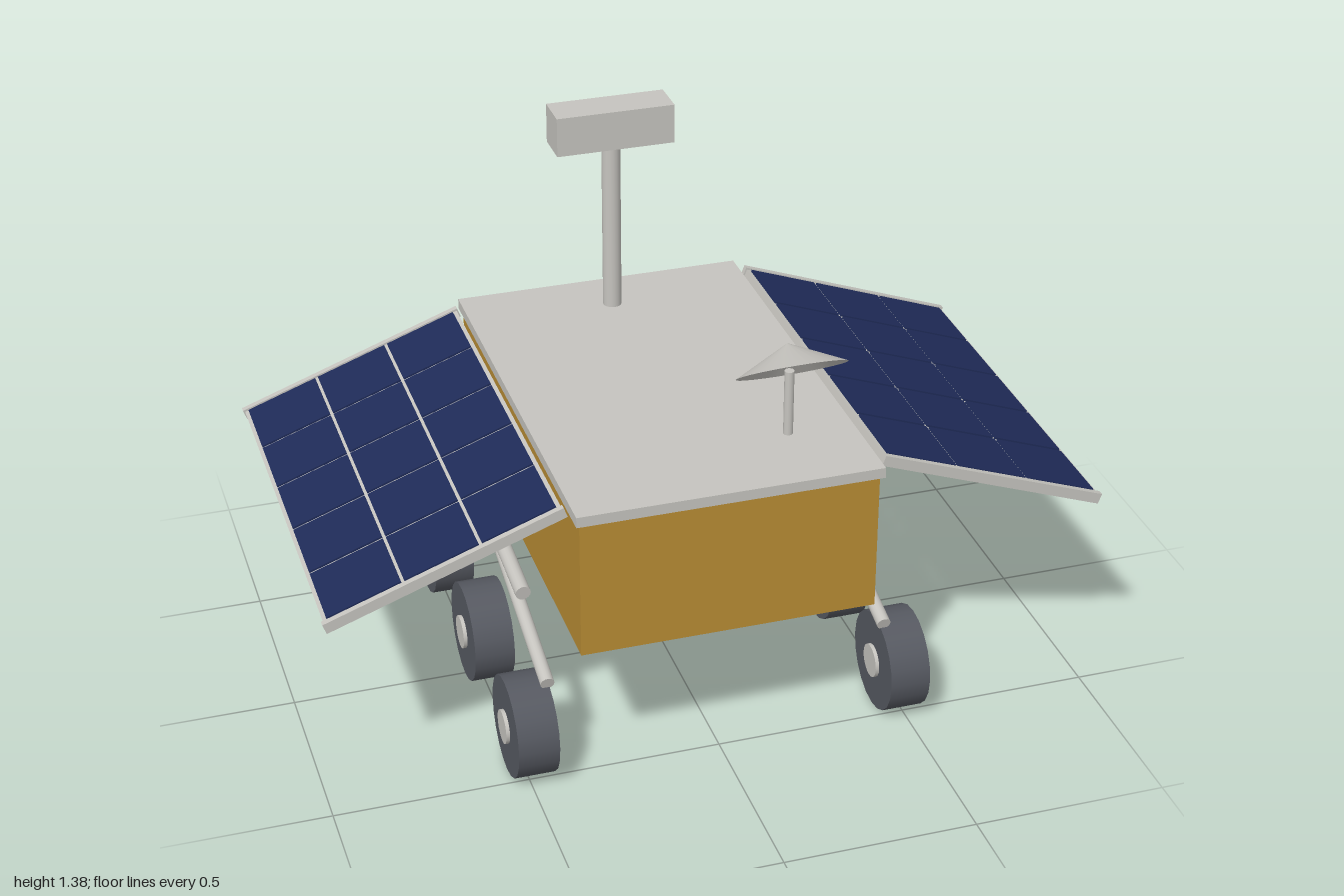
import * as THREE from 'three';

const paint = (name, color) => {
  const m = new THREE.MeshStandardMaterial({ color });
  m.name = name;
  return m;
};

export function createModel() {
  const gold = paint('gold foil', 0xb88c34);
  const silver = paint('silver', 0xc6c4bf);
  const navy = paint('solar navy', 0x1f2b58);
  const dark = paint('dark rubber', 0x565961);
  const dishSilver = paint('dish silver', 0xc6c4bf);
  dishSilver.side = THREE.DoubleSide;

  const rover = new THREE.Group();
  rover.name = 'rover';

  const add = (parent, name, geometry, material, x, y, z) => {
    const mesh = new THREE.Mesh(geometry, material);
    mesh.name = name;
    mesh.position.set(x, y, z);
    parent.add(mesh);
    return mesh;
  };
  const box = (w, h, d) => new THREE.BoxGeometry(w, h, d);
  const rod = (r, length, sides = 16) => new THREE.CylinderGeometry(r, r, length, sides);

  // Straight tube between two points
  const strut = (parent, name, r, from, to) => {
    const a = new THREE.Vector3(...from), b = new THREE.Vector3(...to);
    const dir = b.clone().sub(a);
    const mid = a.clone().add(b).multiplyScalar(0.5);
    const mesh = add(parent, name, rod(r, dir.length()), silver, mid.x, mid.y, mid.z);
    mesh.quaternion.setFromUnitVectors(new THREE.Vector3(0, 1, 0), dir.normalize());
  };

  // Body and deck
  add(rover, 'body', box(0.76, 0.374, 1.146), gold, 0, 0.585, 0);
  add(rover, 'deck', box(0.78, 0.028, 1.17), silver, 0, 0.785, 0);

  // Camera mast at the rear
  add(rover, 'mast', rod(0.025, 0.48), silver, 0, 1.035, -0.441);
  add(rover, 'cameraHead', box(0.316, 0.106, 0.104), silver, 0, 1.324, -0.442);
  for (const x of [-0.107, 0.107]) {
    add(rover, 'cameraLens', rod(0.026, 0.04), dark, x, 1.324, -0.499).rotation.x = Math.PI / 2;
  }

  // Tilted dish antenna
  add(rover, 'dishPost', rod(0.0125, 0.18, 12), silver, 0.219, 0.885, 0.355);
  const dish = new THREE.ConeGeometry(0.14, 0.068, 28, 1, true);
  dish.translate(0, 0.034, 0);
  add(rover, 'dish', dish, dishSilver, 0.219, 0.985, 0.373).rotation.x = -0.6;

  for (const side of [1, -1]) {
    // Sloping solar wing: x runs outward along the slope
    const wing = new THREE.Group();
    wing.name = side > 0 ? 'leftSolarWing' : 'rightSolarWing';
    wing.position.set(side * 0.699, 0.683, 0);
    wing.rotation.z = -side * THREE.MathUtils.degToRad(20);
    rover.add(wing);
    add(wing, 'wingPanel', box(0.622, 0.021, 1.055), silver, 0, -0.002, 0);
    for (const z of [-0.532, 0.532]) {
      add(wing, 'wingRail', box(0.63, 0.028, 0.016), silver, 0, 0, z);
    }
    for (let i = -1; i <= 1; i++) {
      for (let j = -2; j <= 2; j++) {
        add(wing, 'solarCell', box(0.195, 0.006, 0.199), navy, i * 0.203, 0.0105, j * 0.209);
      }
    }

    // Suspension arms
    const x = side * 0.444;
    strut(rover, 'rearRockerArm', 0.02, [x, 0.397, 0.264], [x, 0.484, -0.486]);
    strut(rover, 'frontRockerArm', 0.018, [x, 0.27, 0.486], [x, 0.395, 0.044]);

    // Wheels with hubs showing on both faces
    for (const z of [-0.441, 0, 0.441]) {
      const wheel = new THREE.Group();
      wheel.name = 'wheel';
      wheel.position.set(side * 0.49, 0.131, z);
      wheel.rotation.z = Math.PI / 2;
      rover.add(wheel);
      add(wheel, 'tyre', rod(0.132, 0.105, 20), dark, 0, 0, 0);
      add(wheel, 'hub', rod(0.044, 0.124, 20), silver, 0, 0, 0);
    }
  }
  return rover;
}
